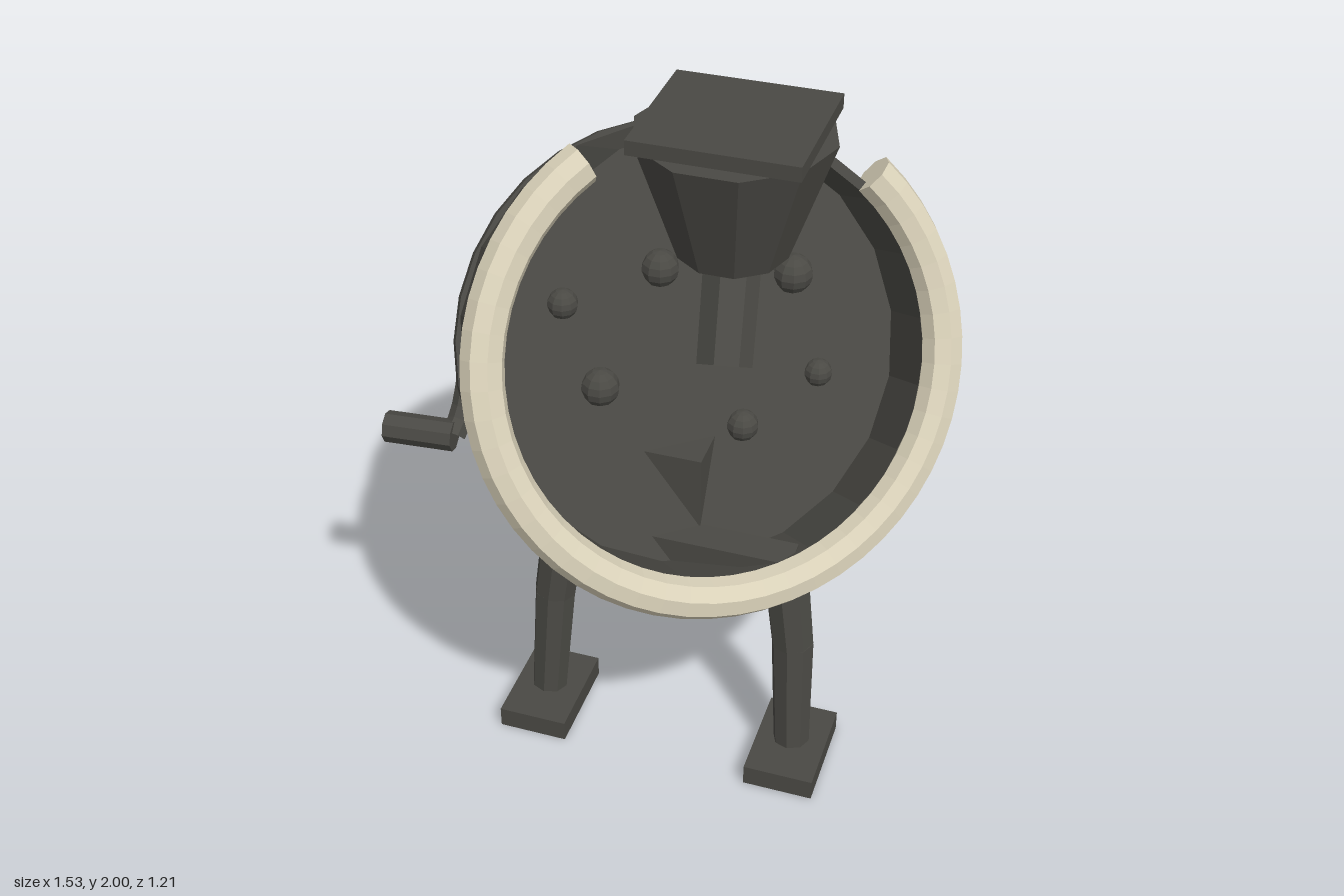
import * as THREE from 'three';

const iron = new THREE.MeshStandardMaterial({ color: 0x4a4944, flatShading: true });
iron.name = 'darkIron';
const cream = new THREE.MeshStandardMaterial({ color: 0xd8d0b8, flatShading: true });
cream.name = 'creamRim';

const V = (x, y, z) => new THREE.Vector3(x, y, z);
const rad = THREE.MathUtils.degToRad;

export function createModel() {
  const model = new THREE.Group();

  function add(name, geometry, parent = model, material = iron) {
    const mesh = new THREE.Mesh(geometry, material);
    mesh.name = name;
    parent.add(mesh);
    return mesh;
  }

  // Box given by its ranges on each axis
  function box(name, x0, x1, y0, y1, z0, z1) {
    const mesh = add(name, new THREE.BoxGeometry(x1 - x0, y1 - y0, z1 - z0));
    mesh.position.set((x0 + x1) / 2, (y0 + y1) / 2, (z0 + z1) / 2);
  }

  // Straight bar from a to b, with a radius at each end
  function rod(name, a, b, ra, rb, sides = 8) {
    const mesh = add(name, new THREE.CylinderGeometry(rb, ra, a.distanceTo(b), sides));
    mesh.position.copy(a).add(b).multiplyScalar(0.5);
    mesh.quaternion.setFromUnitVectors(V(0, 1, 0), b.clone().sub(a).normalize());
  }

  // Tilted drum: local z is its axis, pointing out of the open side
  const centre = V(0.19, 1.4, 0.1);
  const axis = V(0.565, 0.41, 0.71).normalize();
  const side = V(axis.z, 0, -axis.x).normalize();
  const up = axis.clone().cross(side);
  const drum = new THREE.Group();
  drum.name = 'drum';
  drum.position.copy(centre);
  drum.quaternion.setFromRotationMatrix(new THREE.Matrix4().makeBasis(side, up, axis));
  model.add(drum);

  const floorDepth = 0.2;
  const profile = [
    [0, -0.38], [0.605, -0.38], [0.605, 0],
    [0.578, 0], [0.578, -floorDepth], [0, -floorDepth],
  ].map(([r, h]) => new THREE.Vector2(r, h));
  add('drumShell', new THREE.LatheGeometry(profile, 20).rotateX(Math.PI / 2), drum);

  // Back plate
  const plate = new THREE.CylinderGeometry(0.613, 0.613, 0.025, 32).rotateX(Math.PI / 2);
  add('backPlate', plate, drum).position.z = -0.39;

  // Rim ring with a gap at the top and closed ends
  const ringRadius = 0.628, ringTube = 0.057, ringStart = 117, ringArc = 283;
  const ring = new THREE.TorusGeometry(ringRadius, ringTube, 8, 44, rad(ringArc));
  add('rimRing', ring.rotateZ(rad(ringStart)), drum, cream);
  for (const [angle, turn] of [[ringStart, 1], [ringStart + ringArc, -1]]) {
    const cap = new THREE.CircleGeometry(ringTube, 8).rotateX(turn * Math.PI / 2);
    add('rimRingEnd', cap.translate(ringRadius, 0, 0).rotateZ(rad(angle)), drum, cream);
  }

  // Round studs on the drum floor: x, y, radius
  const studs = [
    [-0.24, 1.495, 0.042], [-0.035, 1.535, 0.052], [0.275, 1.46, 0.056],
    [-0.128, 1.28, 0.053], [0.215, 1.112, 0.045], [0.375, 1.203, 0.04],
  ];
  for (const [x, y, r] of studs) {
    const z = centre.z
      - (floorDepth + axis.x * (x - centre.x) + axis.y * (y - centre.y)) / axis.z;
    add('stud', new THREE.SphereGeometry(r, 10, 8)).position.set(x, y, z);
  }

  // Hopper with lid and slanted spout
  box('hopperLid', -0.06, 0.383, 1.96, 2, -0.293, 0.12);
  const hopper = add('hopper',
    new THREE.CylinderGeometry(0.265, 0.15, 0.335, 10).rotateY(Math.PI / 2));
  hopper.position.set(0.16, 1.7925, -0.085);
  rod('spout', V(0.16, 1.62, -0.09), V(0.19, 1.37, 0.075), 0.078, 0.075, 7);

  // Frame: centre post and two crossbars, the rear one ending inside the drum
  box('post', -0.08, 0.155, 0.56, 1.1, -0.087, 0.148);
  box('frontCrossbar', -0.355, 0.43, 0.81, 0.885, 0.14, 0.232);
  box('rearCrossbar', -0.355, 0.34, 0.81, 0.885, -0.19, -0.098);

  // Bent legs and feet, mirrored about the post
  const mid = 0.0375;
  for (const s of [-1, 1]) {
    const top = V(mid + s * 0.315, 0.81, 0.012);
    const knee = V(mid + s * 0.365, 0.43, 0.03);
    const ankle = V(mid + s * 0.384, 0.075, 0.06);
    rod('upperLeg', knee, top, 0.062, 0.068);
    rod('lowerLeg', ankle, knee, 0.054, 0.062);
    const x = mid + s * 0.384;
    box('foot', x - 0.103, x + 0.103, 0, 0.065, -0.092, 0.212);
  }

  // Crank: shaft, hub, bent arm and grip
  rod('crankShaft', V(-0.5, 1.325, -0.03), V(-0.2, 1.325, -0.03), 0.045, 0.045);
  rod('crankHub', V(-0.55, 1.325, -0.03), V(-0.478, 1.325, -0.03), 0.077, 0.077, 10);
  const armPath = new THREE.CatmullRomCurve3([
    V(-0.548, 1.33, -0.015), V(-0.555, 1.18, 0.02),
    V(-0.567, 1.05, 0.07), V(-0.575, 1.005, 0.125),
  ]);
  add('crankArm', new THREE.TubeGeometry(armPath, 8, 0.035, 7));
  rod('crankGrip', V(-0.57, 1.008, 0.127), V(-0.768, 1.008, 0.144), 0.045, 0.045);

  return model;
}
